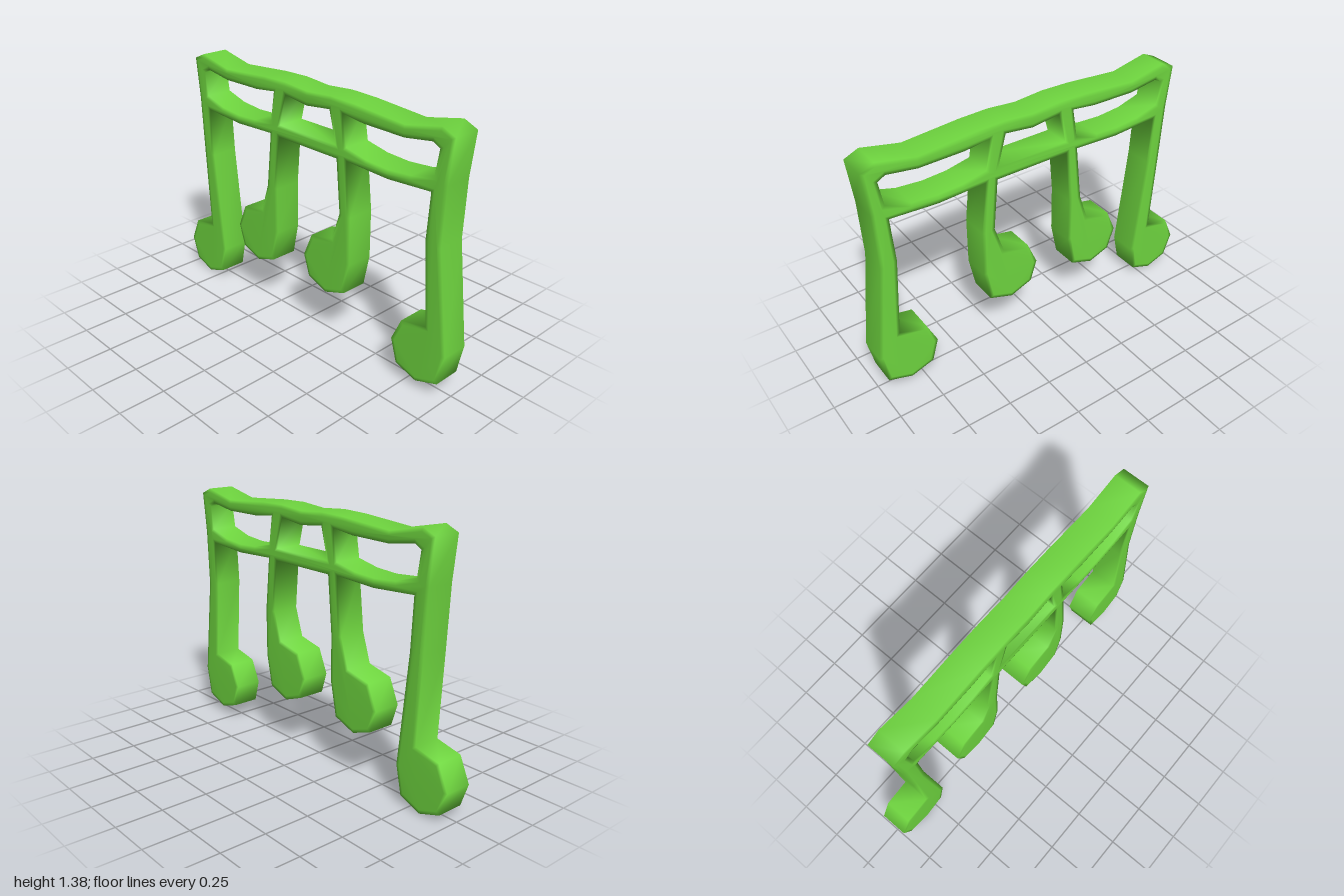
import * as THREE from 'three';
import { mergeVertices } from 'three/addons/utils/BufferGeometryUtils.js';

const DEPTH = 0.16;
const RIM = 0.02; // width of the softened rim on the flat faces
const RIM_DROP = 0.004; // how far the rim falls away from the face
const CENTRE = 0.0535; // mirror line of the beams

const toPoints = (list) => list.map(([x, y]) => new THREE.Vector2(x, y));
const mirror = (list) => list.map(([x, y]) => [2 * CENTRE - x, y]).reverse();

// Hanging notes, each from the left of its stem, around the head, up the right of the stem
const noteOuterRight = [
  [-0.82, 0.8], [-0.793, 0.337], [-0.94, 0.305], [-1, 0.171], [-0.955, 0.043],
  [-0.83, 0], [-0.703, 0.048], [-0.67, 0.203], [-0.735, 0.797], [-0.75, 1.07],
];
const noteInnerRight = [
  [-0.227, 1.065], [-0.26, 0.754], [-0.313, 0.594], [-0.463, 0.561], [-0.521, 0.428], [-0.479, 0.305],
  [-0.356, 0.262], [-0.222, 0.31], [-0.184, 0.492], [-0.184, 0.754], [-0.158, 1.06],
];
const noteInnerLeft = [
  [0.265, 1.06], [0.291, 0.77], [0.238, 0.61], [0.088, 0.578], [0.029, 0.444], [0.067, 0.326],
  [0.195, 0.278], [0.329, 0.326], [0.366, 0.503], [0.366, 0.77], [0.334, 1.065],
];
const noteOuterLeft = [
  [0.857, 1.07], [0.842, 0.823], [0.874, 0.374], [0.725, 0.342], [0.666, 0.214],
  [0.703, 0.086], [0.832, 0.043], [0.965, 0.09], [1, 0.257], [0.933, 0.813],
];

// Wavy top beam, from the middle out to the right corner and down its post
const topHalf = [
  [-0.11, 1.368], [-0.27, 1.364], [-0.58, 1.341], [-0.787, 1.385], [-0.863, 1.352], [-0.837, 1.12],
];

// Low points of the lower beam between the stems
const lowerBeamRight = [-0.49, 1.053];
const lowerBeamLeft = [0.6, 1.053];

// Openings between the two beams
const sideWindow = [
  [-0.783, 1.283], [-0.742, 1.305], [-0.58, 1.28], [-0.332, 1.283], [-0.195, 1.3],
  [-0.222, 1.134], [-0.355, 1.107], [-0.49, 1.1], [-0.63, 1.112], [-0.762, 1.15],
];
const middleWindow = [
  [-0.105, 1.3], [CENTRE, 1.281], [0.212, 1.3], [0.257, 1.128], [-0.15, 1.128],
];

export function createModel() {
  const group = new THREE.Group();
  group.name = 'musicNotes';

  // One counter-clockwise outline through the notes, then back along the top beam
  const shape = new THREE.Shape(toPoints([
    ...noteOuterRight, lowerBeamRight, ...noteInnerRight,
    ...noteInnerLeft, lowerBeamLeft, ...noteOuterLeft,
    ...mirror(topHalf), [CENTRE, 1.355], ...topHalf,
  ]));
  for (const opening of [sideWindow, middleWindow, mirror(sideWindow)]) {
    shape.holes.push(new THREE.Path(toPoints(opening)));
  }

  const solid = new THREE.ExtrudeGeometry(shape, {
    depth: DEPTH - 2 * RIM_DROP,
    bevelThickness: RIM_DROP,
    bevelSize: RIM,
    bevelOffset: -RIM,
    bevelSegments: 1,
  });
  solid.translate(0, 0, RIM_DROP - DEPTH / 2);

  // Weld all corners so that the shading runs softly over the edges
  solid.deleteAttribute('uv');
  solid.deleteAttribute('normal');
  const smooth = mergeVertices(solid);
  smooth.computeVertexNormals();

  const notes = new THREE.Mesh(smooth, new THREE.MeshStandardMaterial({ color: 0x6fd63f }));
  notes.name = 'beamedNotes';
  group.add(notes);
  return group;
}
